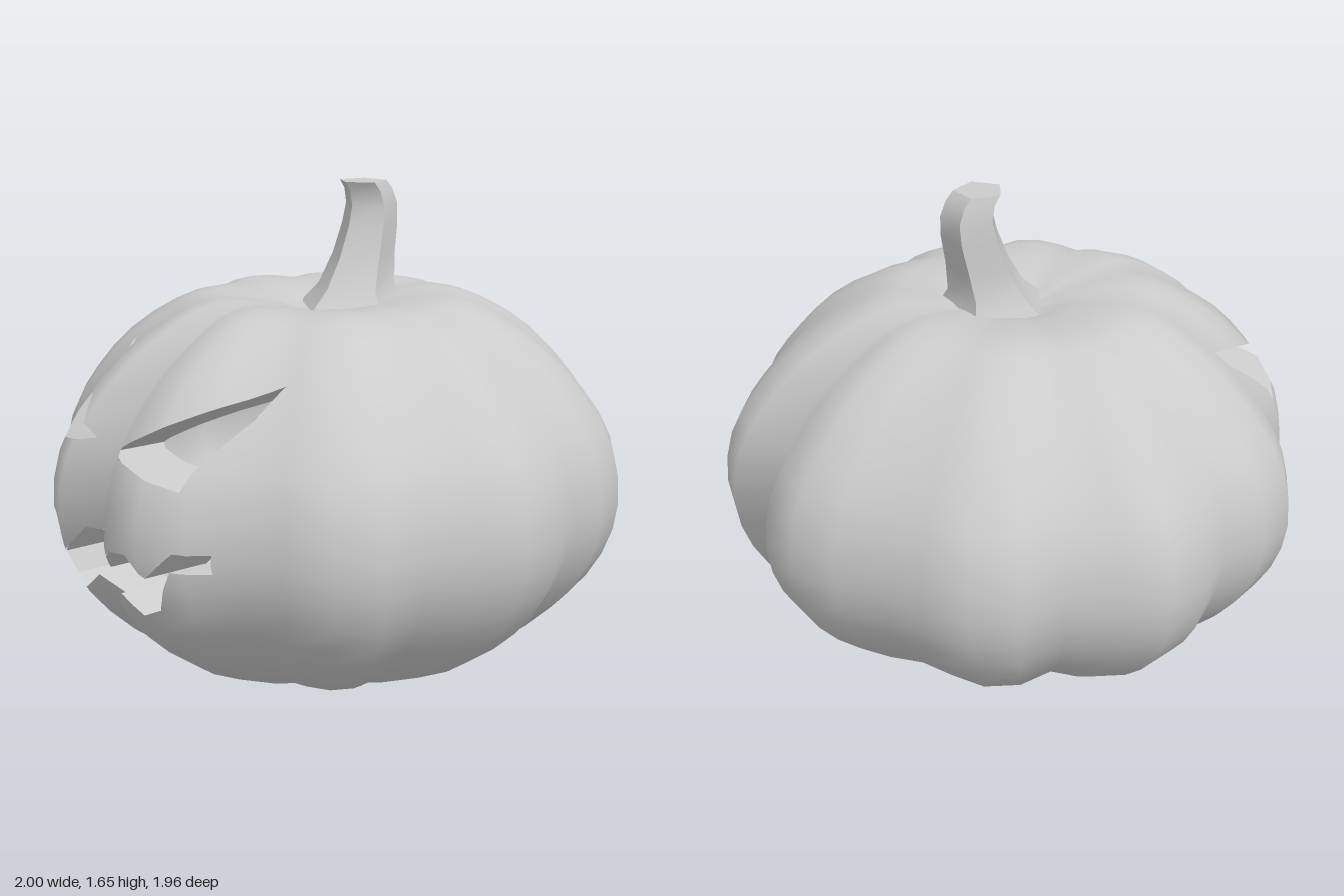
import * as THREE from 'three';
import { toCreasedNormals } from 'three/addons/utils/BufferGeometryUtils.js';

const ROWS = 24;
const MID = 0.65;
const grey = (side = THREE.FrontSide, flatShading = false) =>
  new THREE.MeshStandardMaterial({ color: 0xcccccc, side, flatShading });

// Radius factors of the uneven ribs round the body, from +x towards the front
const RIBS = [1, 0.965, 0.91, 0.975, 0.985, 0.95, 0.907, 0.966, 0.998, 0.985,
  0.88, 0.98, 0.962, 0.93, 0.89, 0.95, 0.99, 0.967, 0.912, 0.975,
  1, 0.96, 0.898, 0.97, 0.99, 0.955, 0.93, 0.967, 1.005, 0.994,
  0.895, 0.998, 1.01, 0.985, 0.955, 0.985, 1, 0.98, 0.94, 0.99];
const SEG = RIBS.length;

// Half profiles (radius, height) of the shell, from bottom hole to crown
const OUTER = [[0.4, 0], [0.65, 0.125], [0.84, 0.285], [0.955, 0.45], [1, 0.63], [0.97, 0.82],
  [0.88, 0.97], [0.74, 1.12], [0.56, 1.235], [0.4, 1.285], [0.2, 1.262], [0.1, 1.232], [0, 1.22]];
const INNER = [[0.4, 0.13], [0.53, 0.21], [0.68, 0.33], [0.78, 0.48], [0.815, 0.64], [0.79, 0.82],
  [0.72, 0.95], [0.62, 1.06], [0.51, 1.135], [0.38, 1.175], [0.2, 1.17], [0, 1.13]];

// Face openings in x, y
const eye = (s) => [[0.446, 1.12], [0.385, 0.84], [0.085, 0.903]].map(([x, y]) => [0.024 + s * x, y]);
const MOUTH = [[-0.45, 0.66], [-0.37, 0.59], [-0.3, 0.63], [-0.21, 0.63], [-0.14, 0.52], [-0.05, 0.62],
  [0.02, 0.62], [0.1, 0.53], [0.19, 0.62], [0.27, 0.63], [0.34, 0.57], [0.42, 0.66], [0.5, 0.66],
  [0.5, 0.6], [0.41, 0.6], [0.35, 0.46], [0.27, 0.42], [0.2, 0.48], [0.11, 0.36], [0.02, 0.37],
  [-0.05, 0.45], [-0.13, 0.38], [-0.2, 0.41], [-0.26, 0.54], [-0.36, 0.52], [-0.45, 0.6]];
const HOLES = [eye(1), eye(-1), MOUTH];

// Point on a ribbed skin; the ribs fade towards the axis
function skinPoint([r, y], j) {
  const a = (j / SEG) * Math.PI * 2;
  const k = 1 - (1 - RIBS[j % SEG]) * Math.min(1, r / 0.65);
  const z = r * k * Math.sin(a);
  return [r * k * Math.cos(a) + 0.02 * Math.abs(z), MID + (y - MID) * (1 - (1 - k) * 0.3), z];
}

// Closed ribbed skin swept round the axis
function skin(profile, inward) {
  const rows = new THREE.SplineCurve(profile.map((p) => new THREE.Vector2(...p))).getPoints(ROWS);
  const pos = [], index = [];
  rows.forEach((p) => {
    for (let j = 0; j < SEG; j++) pos.push(...skinPoint([Math.max(p.x, 0), p.y], j));
  });
  for (let i = 0; i < ROWS; i++) {
    for (let j = 0; j < SEG; j++) {
      const a = i * SEG + j, b = i * SEG + ((j + 1) % SEG), c = a + SEG, d = b + SEG;
      index.push(...(inward ? [a, b, c, c, b, d] : [a, c, b, c, d, b]));
    }
  }
  const g = new THREE.BufferGeometry();
  g.setAttribute('position', new THREE.Float32BufferAttribute(pos, 3));
  g.setIndex(index);
  g.computeVertexNormals();
  return g;
}

// Split a polygon by the line a-b into its left and right parts
function split(poly, a, b) {
  const dist = (p) => (b[0] - a[0]) * (p[1] - a[1]) - (b[1] - a[1]) * (p[0] - a[0]);
  const left = [], right = [];
  poly.forEach((p, i) => {
    const q = poly[(i + 1) % poly.length], dp = dist(p), dq = dist(q);
    if (dp >= 0) left.push(p);
    if (dp <= 0) right.push(p);
    if (dp * dq < 0) {
      const m = p.map((v, n) => v + (q[n] - v) * (dp / (dp - dq)));
      left.push(m);
      right.push(m);
    }
  });
  return [left, right];
}

// Remove a counter-clockwise triangle from a list of polygons
function subtract(polys, tri) {
  return polys.flatMap((poly) => {
    const kept = [];
    let rest = poly;
    for (let e = 0; e < 3; e++) {
      const [left, right] = split(rest, tri[e], tri[(e + 1) % 3]);
      if (left.length < 3) return [poly];
      if (right.length > 2) kept.push(right);
      rest = left;
    }
    return kept;
  });
}

const CUTTERS = HOLES.flatMap((hole) => {
  const pts = hole.map((p) => new THREE.Vector2(...p));
  if (THREE.ShapeUtils.isClockWise(pts)) pts.reverse();
  return THREE.ShapeUtils.triangulateShape(pts, []).map((f) => {
    const t = f.map((i) => pts[i]);
    if (THREE.ShapeUtils.area(t) < 0) t.reverse();
    return t.map((p) => [p.x, p.y]);
  });
});

// Cut the face out of the front of a skin, keeping its smooth normals
function carve(geometry) {
  const p = geometry.attributes.position, n = geometry.attributes.normal, ix = geometry.index;
  const pos = [], nor = [];
  for (let t = 0; t < ix.count; t += 3) {
    const tri = [0, 1, 2].map((o) => {
      const v = ix.getX(t + o);
      return [p.getX(v), p.getY(v), p.getZ(v), n.getX(v), n.getY(v), n.getZ(v)];
    });
    let polys = [tri];
    if (tri.every((v) => v[2] > 0.1)) CUTTERS.forEach((c) => { polys = subtract(polys, c); });
    polys.forEach((poly) => {
      for (let i = 1; i < poly.length - 1; i++) {
        [poly[0], poly[i], poly[i + 1]].forEach((v) => {
          pos.push(...v.slice(0, 3));
          nor.push(...v.slice(3));
        });
      }
    });
  }
  const g = new THREE.BufferGeometry();
  g.setAttribute('position', new THREE.Float32BufferAttribute(pos, 3));
  g.setAttribute('normal', new THREE.Float32BufferAttribute(nor, 3));
  return g;
}

// Flat-shaded strip joining two rows of points
function strip(rowA, rowB) {
  const pos = [];
  for (let i = 0; i < rowA.length - 1; i++) {
    const [a, b, c, d] = [rowA[i], rowA[i + 1], rowB[i], rowB[i + 1]];
    pos.push(...a, ...b, ...c, ...b, ...d, ...c);
  }
  const g = new THREE.BufferGeometry();
  g.setAttribute('position', new THREE.Float32BufferAttribute(pos, 3));
  g.computeVertexNormals();
  return g;
}

// Wall thickness seen inside a face opening
function holeWall(hole, outer, inner) {
  const ray = new THREE.Raycaster(), rowA = [], rowB = [];
  const depth = (mesh, x, y) => {
    ray.set(new THREE.Vector3(x, y, 3), new THREE.Vector3(0, 0, -1));
    const hit = ray.intersectObject(mesh)[0];
    return hit && hit.point.z > 0.1 ? hit.point.z : 0.1;
  };
  hole.forEach(([x, y], i) => {
    const [u, v] = hole[(i + 1) % hole.length];
    const steps = Math.ceil(Math.hypot(u - x, v - y) / 0.04);
    for (let s = 0; s <= steps; s++) {
      const px = x + ((u - x) * s) / steps, py = y + ((v - y) * s) / steps;
      rowA.push([px, py, depth(outer, px, py)]);
      rowB.push([px, py, depth(inner, px, py)]);
    }
  });
  return strip(rowA, rowB);
}

// Curved five-sided stem from cross-sections: [x, y, z, radius]
function stemGeometry() {
  const rings = [[0.03, 1.235, -0.08, 0.19], [0.025, 1.3, -0.1, 0.137], [0.02, 1.4, -0.135, 0.112],
    [0.015, 1.5, -0.165, 0.1], [0.013, 1.57, -0.175, 0.092], [0.014, 1.62, -0.16, 0.086],
    [0.015, 1.65, -0.137, 0.083]];
  const pos = [];
  const at = ([x, y, z, r], k) => {
    const a = 1.4 + (k * Math.PI * 2) / 5;
    return [x + r * Math.cos(a), y, z + r * Math.sin(a)];
  };
  for (let k = 0; k < 5; k++) {
    for (let i = 0; i < rings.length - 1; i++) {
      const a = at(rings[i], k), b = at(rings[i], k + 1), c = at(rings[i + 1], k), d = at(rings[i + 1], k + 1);
      pos.push(...a, ...c, ...b, ...c, ...d, ...b);
    }
    const top = rings[rings.length - 1];
    pos.push(...top.slice(0, 3), ...at(top, k + 1), ...at(top, k));
  }
  const g = new THREE.BufferGeometry();
  g.setAttribute('position', new THREE.Float32BufferAttribute(pos, 3));
  return toCreasedNormals(g, 0.7);
}

export function createModel() {
  const model = new THREE.Group();
  const add = (name, geometry, material) => {
    const mesh = new THREE.Mesh(geometry, material);
    mesh.name = name;
    model.add(mesh);
    return mesh;
  };

  // Hollow shell with the carved face
  const outer = skin(OUTER, false), inner = skin(INNER, true);
  add('outerShell', carve(outer), grey());
  add('innerShell', carve(inner), grey());
  const solid = [outer, inner].map((g) => new THREE.Mesh(g, grey(THREE.DoubleSide)));
  ['leftEye', 'rightEye', 'mouth'].forEach((name, i) =>
    add(name + 'Wall', holeWall(HOLES[i], ...solid), grey(THREE.DoubleSide)));

  // Rim of the hole in the bottom
  const ring = (p) => Array.from({ length: SEG + 1 }, (_, j) => skinPoint(p, j));
  add('bottomRim', strip(ring(OUTER[0]), ring(INNER[0])), grey(THREE.DoubleSide));

  add('stem', stemGeometry(), grey());

  // Faceted lamp in the hollow
  add('lamp', new THREE.IcosahedronGeometry(0.235, 1), grey(THREE.FrontSide, true)).position.set(0.02, 0.48, -0.03);
  return model;
}
